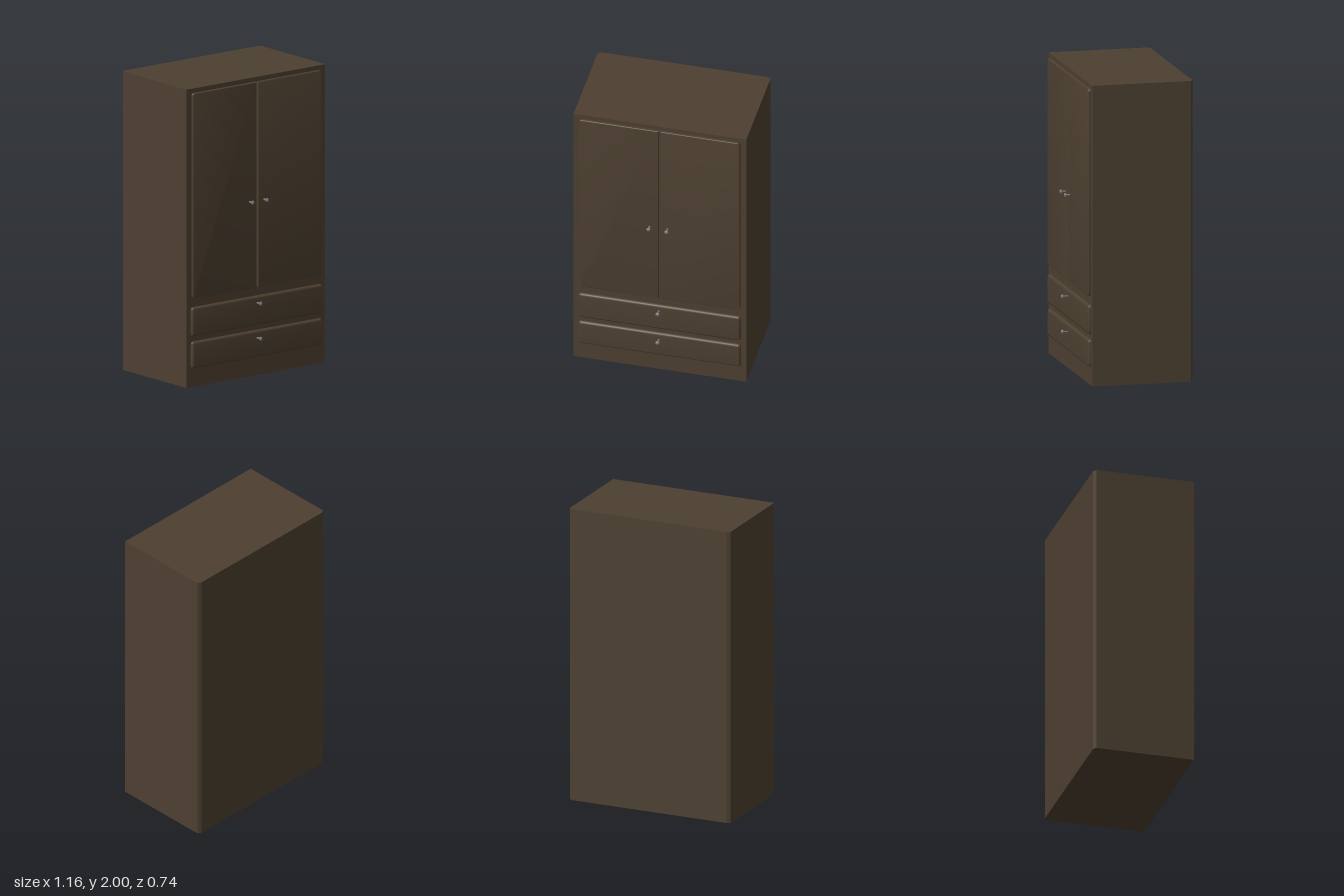
import * as THREE from 'three';
import { toCreasedNormals } from 'three/addons/utils/BufferGeometryUtils.js';

const wood = new THREE.MeshStandardMaterial({ color: 0x4d4030 });
const metal = new THREE.MeshStandardMaterial({ color: 0x808080 });

const FRONT = 0.305; // front plane of the carcass
const BACK = -0.375;

function add(parent, name, geometry, material) {
  const mesh = new THREE.Mesh(geometry, material);
  mesh.name = name;
  parent.add(mesh);
  return mesh;
}

// Rectangle with separate corner radii for its left and right sides
function panelShape(x0, x1, y0, y1, rl, rr) {
  const s = new THREE.Shape();
  s.moveTo(x0 + rl, y0);
  s.lineTo(x1 - rr, y0);
  if (rr) s.quadraticCurveTo(x1, y0, x1, y0 + rr);
  s.lineTo(x1, y1 - rr);
  if (rr) s.quadraticCurveTo(x1, y1, x1 - rr, y1);
  s.lineTo(x0 + rl, y1);
  if (rl) s.quadraticCurveTo(x0, y1, x0, y1 - rl);
  s.lineTo(x0, y0 + rl);
  if (rl) s.quadraticCurveTo(x0, y0, x0 + rl, y0);
  return s;
}

// Raised panel whose rounded front edge stands proud of the carcass
function panel(shape, edge, round, top) {
  const g = new THREE.ExtrudeGeometry(shape, {
    depth: 0.02, bevelThickness: round, bevelSize: edge, bevelOffset: -edge,
    bevelSegments: 4, curveSegments: 5,
  });
  g.translate(0, 0, top - 0.02 - round);
  return toCreasedNormals(g, 0.7);
}

// Turned knob with a thin stem and a domed head
function knob(parent, name, x, y, z, tip) {
  const len = tip - z;
  const profile = [
    [0.008, 0], [0.005, 0.004], [0.005, len - 0.02], [0.012, len - 0.014],
    [0.014, len - 0.009], [0.012, len - 0.003], [0, len],
  ].map(([r, h]) => new THREE.Vector2(r, h));
  const mesh = add(parent, name, new THREE.LatheGeometry(profile, 16), metal);
  mesh.rotation.x = Math.PI / 2;
  mesh.position.set(x, y, z);
}

export function createModel() {
  const group = new THREE.Group();
  group.name = 'wardrobe';

  // Carcass: plan outline with chamfered rear corners, extruded upward
  const plan = new THREE.Shape([
    [-0.58, -FRONT], [0.58, -FRONT], [0.58, 0.36], [0.555, -BACK],
    [-0.555, -BACK], [-0.58, 0.36],
  ].map(([x, y]) => new THREE.Vector2(x, y)));
  const carcass = new THREE.ExtrudeGeometry(plan, { depth: 2, bevelEnabled: false });
  carcass.rotateX(-Math.PI / 2);
  add(group, 'carcass', carcass, wood);

  // Doors, rounded on their outer corners only
  add(group, 'rightDoor', panel(panelShape(-0.54, -0.005, 0.595, 1.97, 0.02, 0), 0.005, 0.007, 0.323), wood);
  add(group, 'leftDoor', panel(panelShape(0.005, 0.54, 0.595, 1.97, 0, 0.02), 0.005, 0.007, 0.323), wood);
  knob(group, 'rightDoorKnob', -0.065, 1.175, 0.322, 0.362);
  knob(group, 'leftDoorKnob', 0.055, 1.175, 0.322, 0.362);

  // Drawers with softly rounded fronts
  [['upper', 0.34, 0.535, 0.49], ['lower', 0.125, 0.305, 0.255]].forEach(([name, y0, y1, ky]) => {
    add(group, name + 'Drawer', panel(panelShape(-0.545, 0.545, y0, y1, 0.018, 0.018), 0.016, 0.017, 0.325), wood);
    knob(group, name + 'DrawerKnob', -0.003, ky, 0.324, 0.368);
  });

  return group;
}
